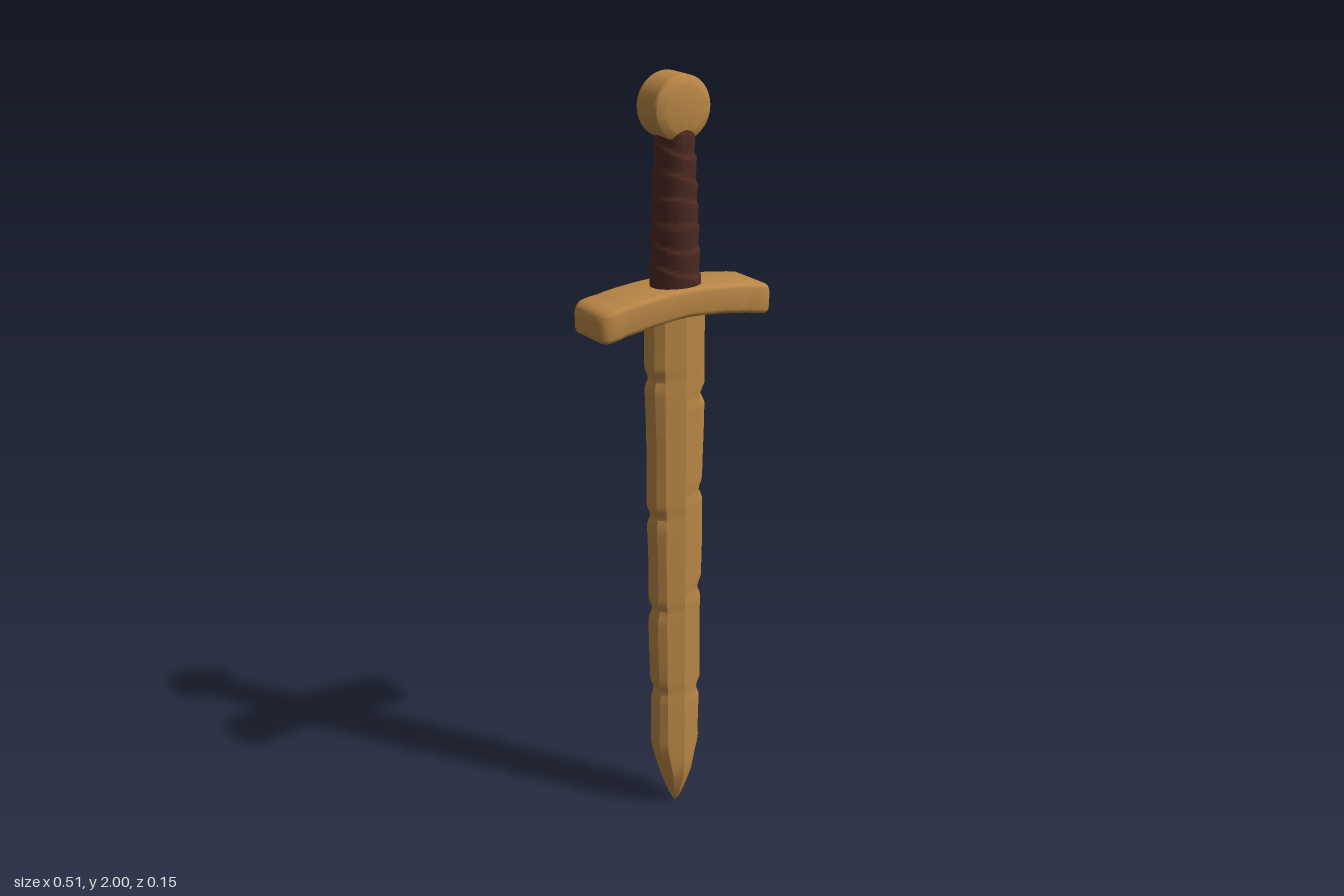
import * as THREE from 'three';
import { toCreasedNormals } from 'three/addons/utils/BufferGeometryUtils.js';

// Skin a list of equal-sized rings (counter-clockwise about the travel direction) and cap both ends.
function loft(rings, crease) {
  const n = rings[0].length, pos = rings.flat(2), index = [];
  for (let r = 0; r < rings.length - 1; r++) {
    for (let i = 0; i < n; i++) {
      const a = r * n + i, b = r * n + (i + 1) % n;
      index.push(a, b, b + n, a, b + n, a + n);
    }
  }
  const cap = (r, flip) => {
    const c = pos.length / 3;
    for (let k = 0; k < 3; k++) pos.push(rings[r].reduce((s, p) => s + p[k], 0) / n);
    for (let i = 0; i < n; i++) {
      const a = r * n + i, b = r * n + (i + 1) % n;
      index.push(c, flip ? b : a, flip ? a : b);
    }
  };
  cap(0, true);
  cap(rings.length - 1, false);
  const g = new THREE.BufferGeometry();
  g.setAttribute('position', new THREE.Float32BufferAttribute(pos, 3));
  g.setIndex(index);
  return toCreasedNormals(g, crease);
}

const lerp = THREE.MathUtils.lerp;
const bump = (v, centre, width) => Math.max(0, 1 - Math.abs(v - centre) / width);

// Blade: thick lozenge section with blunt edges, chipped along both sides.
function bladeGeometry() {
  const chips = { 1: [1.19, 0.93, 0.65, 0.35], '-1': [1.245, 0.87, 0.6, 0.36] };
  const ys = [0.005, 0.015, 0.03, 0.055, 0.08, 0.11, 0.15, 0.18, 0.2];
  for (let y = 0.215; y < 1.44; y += 0.0125) ys.push(y);
  const rings = ys.map((y) => {
    const w = y < 0.19 ? 0.062 * Math.pow(y / 0.19, 0.8) : lerp(0.062, 0.077, (y - 0.19) / 1.25);
    const t = lerp(0.047, 0.053, y / 1.44) * Math.min(1, Math.pow(y / 0.11, 0.65));
    const half = (s) => {
      const c = Math.max(...chips[s].map((h) => bump(y, h, 0.025)));
      const wave = y > 0.2 ? 0.0015 * Math.sin(y * 17 + s) : 0;
      const e = w + wave - 0.009 * c;
      return [[s * (w * 0.74 - 0.004 * c), t * (0.78 - 0.06 * c)], [s * e, t * (0.46 - 0.12 * c)]];
    };
    const [r1, r2] = half(1), [l1, l2] = half(-1);
    const neg = ([x, z]) => [x, -z];
    return [[0, t], r1, r2, neg(r2), neg(r1), [0, -t], neg(l1), neg(l2), l2, l1]
      .map(([x, z]) => [x, y, z]);
  });
  return loft(rings, 0.35);
}

// Crossguard: rounded bar drooping at both ends.
function guardGeometry() {
  const rings = [];
  const ends = [0.253, 0.25, 0.243, 0.232, 0.218, 0.2];
  const xs = [...ends.map((x) => -x)];
  for (let x = -0.18; x < 0.19; x += 0.02) xs.push(x);
  xs.push(...ends.slice().reverse());
  for (const x of xs) {
    const a = Math.abs(x), u = Math.max(0, (a - 0.223) / 0.031);
    const round = Math.sqrt(Math.max(0, 1 - u * u));
    const h = lerp(0.037, 0.041, a / 0.25) - 0.02 * (1 - round);
    const d = 0.074 - 0.026 * (1 - round) - 0.003 * bump(a, 0.18, 0.02);
    const yc = 1.447 - 0.03 * Math.pow(a / 0.25, 1.7);
    const ring = [], r = 0.013;
    for (let q = 0; q < 4; q++) {
      const sy = q === 0 || q === 3 ? 1 : -1, sz = q < 2 ? 1 : -1;
      for (let k = 0; k < 4; k++) {
        const t = (q + k / 3) * Math.PI / 2;
        ring.push([x, yc + sy * (h - r) + r * Math.cos(t), -0.004 + sz * (d - r) + r * Math.sin(t)]);
      }
    }
    rings.push(ring);
  }
  return loft(rings, 0.6);
}

// Grip: tapered oval wound with overlapping leather strips.
function gripGeometry() {
  const rings = [], steps = 84, sides = 32;
  for (let s = 0; s <= steps; s++) {
    const v = s / steps, y = lerp(1.465, 1.875, v);
    const rx = lerp(0.064, 0.044, v) + 0.005 * bump(v, 0, 0.12);
    const rz = 0.048 + 0.011 * Math.sin(Math.PI * Math.min(1, 0.25 + v * 0.75));
    const ring = [];
    for (let i = 0; i < sides; i++) {
      const t = (i / sides) * Math.PI * 2;
      const turn = v * 7 + i / sides + 0.12 * Math.sin(t * 2 + v * 9);
      const f = turn - Math.floor(turn);
      const lift = 0.005 * (f < 0.85 ? f / 0.85 : (1 - f) / 0.15) - 0.001;
      ring.push([(rx + lift) * Math.sin(t), y, (rz + lift) * Math.cos(t)]);
    }
    rings.push(ring);
  }
  return loft(rings, 0.6);
}

// Pommel: chamfered disc facing front and back.
function pommelGeometry() {
  const profile = [[0, -0.053], [0.056, -0.053], [0.063, -0.051], [0.077, -0.043], [0.08, -0.038],
    [0.08, 0.038], [0.077, 0.043], [0.063, 0.051], [0.056, 0.053], [0, 0.053]];
  const g = new THREE.LatheGeometry(profile.map(([x, y]) => new THREE.Vector2(x, y)), 40);
  g.rotateX(Math.PI / 2);
  return toCreasedNormals(g, 0.5);
}

export function createModel() {
  const wood = new THREE.MeshStandardMaterial({ color: 0xba8746 });
  wood.name = 'wood';
  const leather = new THREE.MeshStandardMaterial({ color: 0x4e2a22 });
  leather.name = 'dark leather';

  const model = new THREE.Group();
  model.name = 'woodenSword';
  const add = (name, geometry, material) => {
    const mesh = new THREE.Mesh(geometry, material);
    mesh.name = name;
    model.add(mesh);
    return mesh;
  };
  add('blade', bladeGeometry(), wood);
  add('crossguard', guardGeometry(), wood);
  add('grip', gripGeometry(), leather);
  add('pommel', pommelGeometry(), wood).position.set(0, 1.92, -0.005);
  return model;
}
